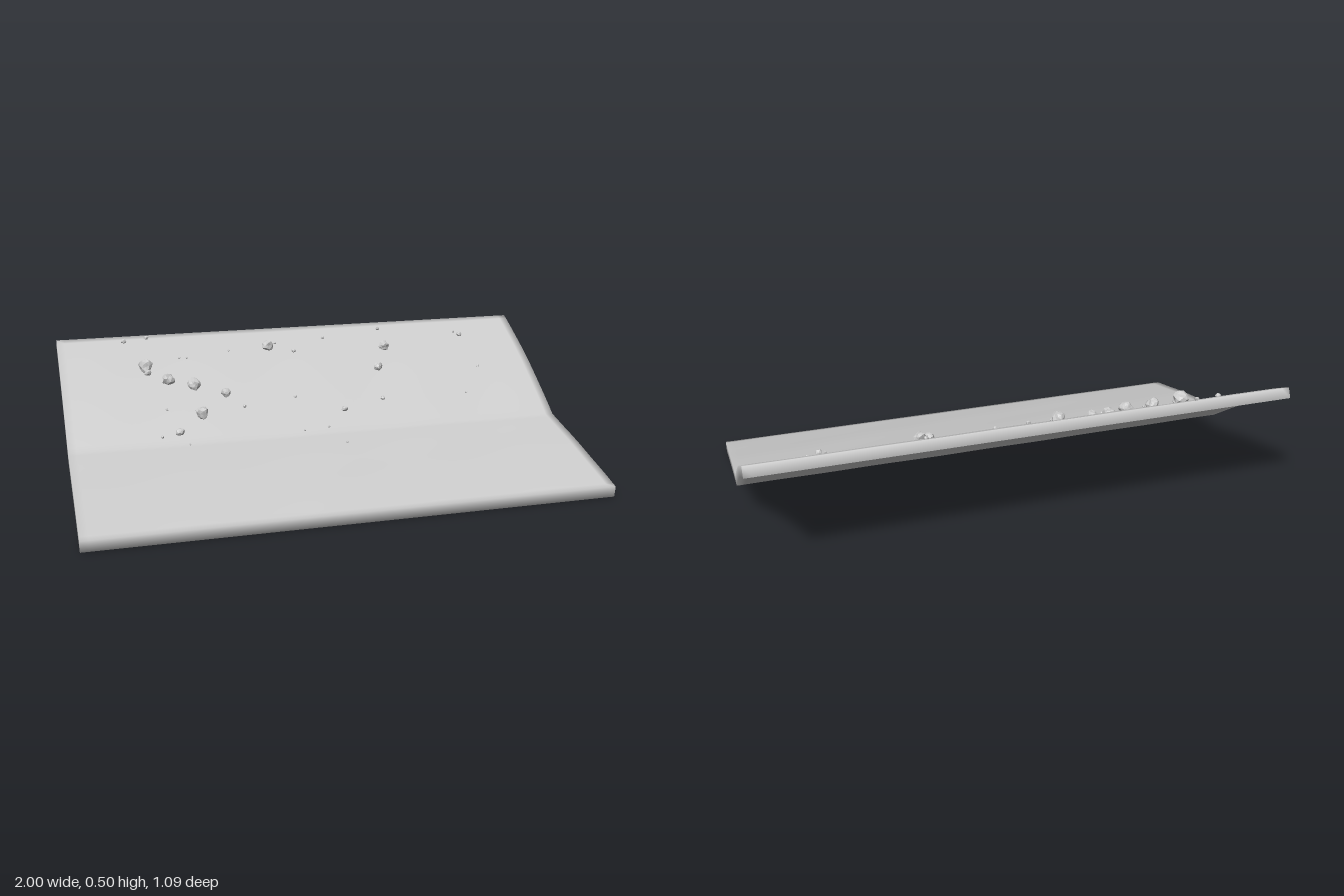
import * as THREE from 'three';

const HALF = 1, NX = 64, NZ = 24;

// Gently bowed span from a to b, each [z, y]
function span(a, b, bulge, t) {
  return [a[0] + (b[0] - a[0]) * t, a[1] + (b[1] - a[1]) * t + bulge * 4 * t * (1 - t)];
}

// Profile as rows from front edge, over the crease, to back edge
function profile(front, crease, back) {
  const pts = [];
  for (let i = 0; i <= NZ; i++) pts.push(span(front, crease, 0.005, i / NZ));
  for (let i = 1; i <= NZ; i++) pts.push(span(crease, back, 0.018, i / NZ));
  return pts;
}

const TOP = profile([0.543, 0.045], [0, 0.18], [-0.525, 0.503]);
const BOTTOM = profile([0.537, 0.002], [-0.008, 0.139], [-0.543, 0.467]);

// Height of the upper surface at a given z
function heightAt(z) {
  for (let i = 1; i < TOP.length; i++) {
    const [z0, y0] = TOP[i - 1], [z1, y1] = TOP[i];
    if (z >= z1) return y0 + (y1 - y0) * (z - z0) / (z1 - z0);
  }
  return TOP[TOP.length - 1][1];
}

// Closed bent slab: a ring of profile points swept along x, with strip end caps
function slabGeometry() {
  const ring = [...TOP, ...[...BOTTOM].reverse()];
  const n = ring.length, rows = TOP.length;
  const pos = [], idx = [];
  for (let i = 0; i <= NX; i++) {
    const x = -HALF + 2 * HALF * i / NX;
    ring.forEach(([z, y], j) => {
      const edge = j === 0 || j === rows - 1 || j === rows || j === n - 1;
      const wave = edge ? 0 : 0.0012 * Math.sin(x * 9 + z * 14) * Math.sin(z * 11 - x * 5);
      pos.push(x, y + wave, z);
    });
  }
  for (let i = 0; i < NX; i++) {
    for (let j = 0; j < n; j++) {
      const a = i * n + j, b = i * n + (j + 1) % n, c = a + n, d = b + n;
      idx.push(a, c, b, b, c, d);
    }
  }
  const last = NX * n;
  for (let j = 0; j < rows - 1; j++) {
    const k = n - 1 - j;
    idx.push(j, j + 1, k, j + 1, k - 1, k);
    idx.push(last + j, last + k, last + j + 1, last + j + 1, last + k, last + k - 1);
  }
  const g = new THREE.BufferGeometry();
  g.setAttribute('position', new THREE.Float32BufferAttribute(pos, 3));
  g.setIndex(idx);
  g.computeVertexNormals();
  return g;
}

// Faceted stone, its corners pushed in and out by direction
function stoneGeometry(r, seed) {
  const g = new THREE.IcosahedronGeometry(1, r > 0.012 ? 1 : 0);
  const p = g.attributes.position, v = new THREE.Vector3();
  for (let i = 0; i < p.count; i++) {
    v.fromBufferAttribute(p, i);
    const k = 1 + 0.14 * Math.sin(v.x * 4 + seed * 1.7) + 0.12 * Math.sin(v.y * 5 + v.z * 3 + seed * 2.3);
    v.multiplyScalar(r * k);
    p.setXYZ(i, v.x, v.y, v.z);
  }
  g.computeVertexNormals();
  return g;
}

// Stones: x, z, radius
const STONES = [
  [-0.73, -0.49, 0.012], [-0.635, -0.505, 0.01], [-0.66, -0.335, 0.028], [-0.655, -0.31, 0.013],
  [-0.58, -0.265, 0.025], [-0.48, -0.235, 0.025], [-0.36, -0.19, 0.019], [-0.47, -0.105, 0.025],
  [-0.57, -0.04, 0.017], [-0.64, -0.03, 0.007], [-0.605, -0.14, 0.006], [-0.295, -0.13, 0.008],
  [-0.515, -0.38, 0.006], [-0.485, -0.38, 0.005], [-0.305, -0.405, 0.005], [-0.135, -0.41, 0.024],
  [-0.1, -0.43, 0.006], [-0.03, -0.38, 0.009], [0.115, -0.445, 0.008], [0.375, -0.48, 0.009],
  [0.37, -0.37, 0.021], [0.31, -0.265, 0.017], [0.285, -0.12, 0.01], [0.11, -0.085, 0.013],
  [-0.08, -0.155, 0.008], [-0.075, -0.015, 0.005], [0.025, -0.02, 0.006], [0.07, 0.09, 0.005],
  [0.735, -0.415, 0.012], [0.715, -0.435, 0.006], [0.755, -0.24, 0.006], [0.655, -0.12, 0.005],
  [-0.54, 0.01, 0.005],
];

export function createModel() {
  const model = new THREE.Group();
  model.name = 'slopedGround';

  const slab = new THREE.Mesh(slabGeometry(), new THREE.MeshStandardMaterial({ color: 0xcccccc }));
  slab.name = 'bentSlab';
  model.add(slab);

  // Scattered stones, half sunk into the slope
  const stones = new THREE.Group();
  stones.name = 'stones';
  const stoneMaterial = new THREE.MeshStandardMaterial({ color: 0xcccccc, flatShading: true });
  STONES.forEach(([x, z, r], i) => {
    const stone = new THREE.Mesh(stoneGeometry(r, i), stoneMaterial);
    stone.name = 'stone' + (i + 1);
    stone.position.set(x, heightAt(z) + r * 0.5, z);
    stone.rotation.set(i * 1.3, i * 2.1, i * 0.7);
    stones.add(stone);
  });
  model.add(stones);
  return model;
}
